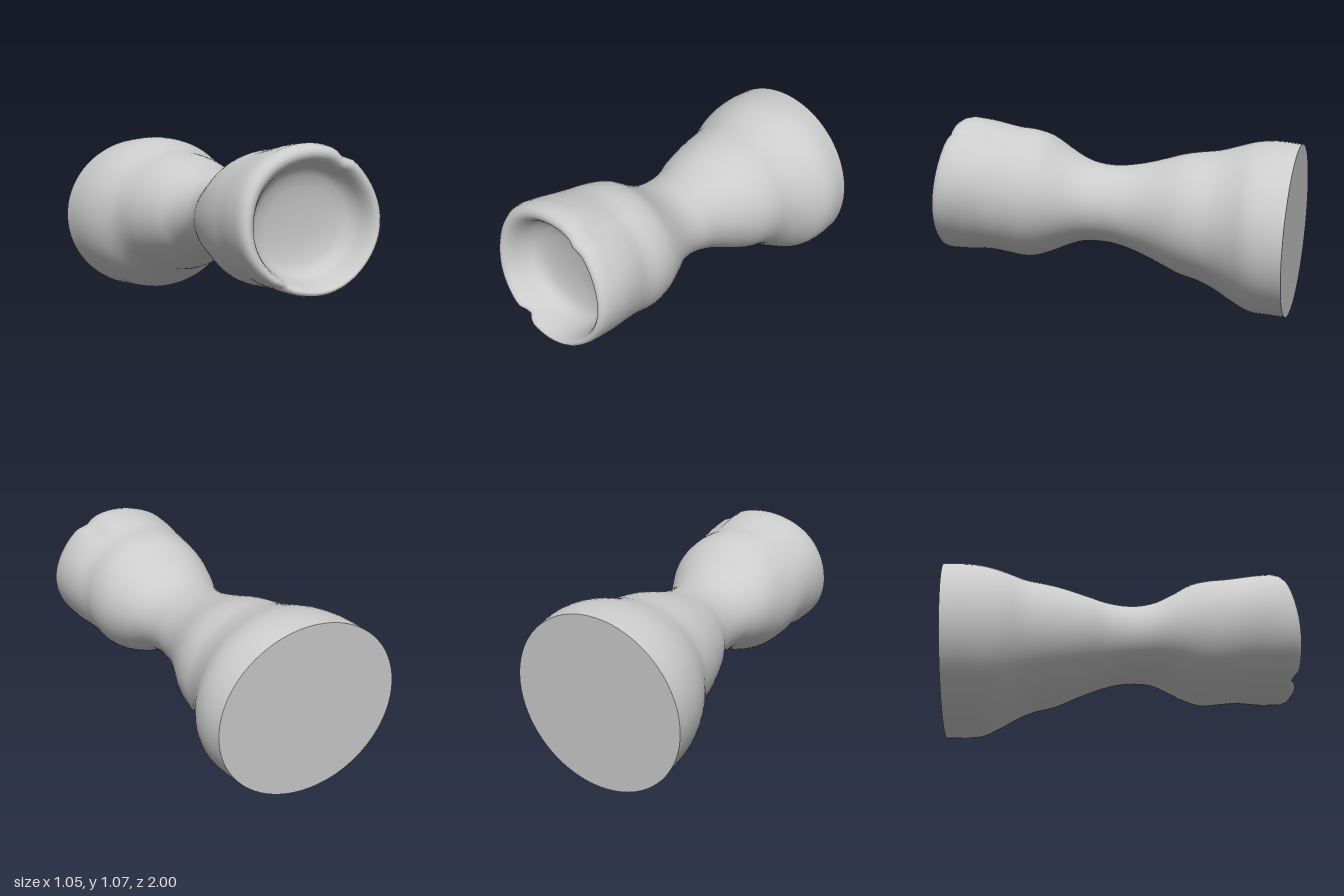
import * as THREE from 'three';

const SEG = 72;
const material = new THREE.MeshStandardMaterial({ color: 0xcccccc });

// Body cross-sections from back to front: z, left x, right x, bottom y, top y
const SECTIONS = [
  [-0.967, -0.527, 0.505, 0.005, 0.95], [-0.85, -0.513, 0.525, 0.018, 0.967],
  [-0.75, -0.49, 0.515, 0.03, 0.962], [-0.65, -0.45, 0.465, 0.075, 0.935],
  [-0.55, -0.395, 0.425, 0.14, 0.91], [-0.45, -0.365, 0.415, 0.19, 0.9],
  [-0.35, -0.34, 0.395, 0.22, 0.885], [-0.2, -0.29, 0.335, 0.29, 0.845],
  [-0.1, -0.24, 0.305, 0.335, 0.825], [0, -0.215, 0.295, 0.37, 0.815],
  [0.1, -0.21, 0.295, 0.385, 0.82], [0.2, -0.225, 0.325, 0.385, 0.85],
  [0.3, -0.26, 0.38, 0.355, 0.91], [0.4, -0.285, 0.43, 0.315, 0.98],
  [0.5, -0.305, 0.45, 0.29, 1.01], [0.6, -0.32, 0.45, 0.3, 1.02],
  [0.7, -0.325, 0.47, 0.32, 1.04], [0.8, -0.333, 0.485, 0.32, 1.06],
  [0.89, -0.333, 0.486, 0.322, 1.073],
];

// Rim and hollow: scale of the mouth outline, z
const MOUTH = [
  [0.99, 0.925], [0.965, 0.946], [0.93, 0.957], [0.89, 0.957], [0.85, 0.942], [0.81, 0.91],
  [0.775, 0.87], [0.73, 0.83], [0.65, 0.803], [0.52, 0.787], [0.35, 0.777], [0.17, 0.771], [0, 0.77],
];

// Bell-shaped falloff around an angle
const bump = (a, centre, width) => {
  const d = Math.atan2(Math.sin(a - centre), Math.cos(a - centre));
  return Math.exp(-((d / width) ** 2));
};

// One closed ring of points; both ends are tilted
function ring(z, xl, xr, yb, yt, s, mouth) {
  const points = [];
  const front = THREE.MathUtils.smoothstep(z, 0.5, 0.9);
  const back = 1 - THREE.MathUtils.smoothstep(z, -0.967, -0.65);
  const inner = mouth ? 1 - s : 0;
  const cx = (xl + xr) / 2 + 0.06 * inner, cy = (yb + yt) / 2 - 0.1 * inner;
  const edge = THREE.MathUtils.smoothstep(s, 0.72, 0.88);
  for (let i = 0; i < SEG; i++) {
    const a = (i / SEG) * Math.PI * 2;
    // Groove on the upper side, nick in the lower rim, slight hand-made unevenness
    const groove = mouth ? edge : THREE.MathUtils.smoothstep(z, 0.55, 0.85);
    const nick = mouth ? edge * bump(a, -2.03, 0.1) : 0;
    const lumps = 0.007 * front * Math.sin(5 * a + 9 * z) * edge;
    const r = s * (1 - 0.055 * groove * bump(a, 1.03, 0.1) + lumps);
    const x = cx + (r * (xr - xl) / 2) * Math.cos(a);
    const y = cy + (r * (yt - yb) / 2) * Math.sin(a);
    const tilt = (mouth ? edge : front) * (-0.115 * (y - 0.69) - 0.02 * (x - 0.08));
    const dz = tilt + back * (0.05 * x - 0.05 * (y - 0.48)) - 0.035 * nick;
    points.push(new THREE.Vector3(x, y, z + dz));
  }
  return points;
}

// Skin joining consecutive rings
function loft(rings) {
  const index = [];
  for (let j = 0; j < rings.length - 1; j++) {
    for (let i = 0; i < SEG; i++) {
      const a = j * SEG + i, b = j * SEG + ((i + 1) % SEG);
      index.push(a, b, b + SEG, a, b + SEG, a + SEG);
    }
  }
  const geometry = new THREE.BufferGeometry().setFromPoints(rings.flat());
  geometry.setIndex(index);
  geometry.computeVertexNormals();
  return geometry;
}

export function createModel() {
  const group = new THREE.Group();
  const add = (name, geometry) => {
    const mesh = new THREE.Mesh(geometry, material);
    mesh.name = name;
    group.add(mesh);
  };

  // Smooth interpolation between the cross-sections
  const curve = (c, d) => new THREE.CatmullRomCurve3(
    SECTIONS.map((s) => new THREE.Vector3(s[c], s[d], s[0])), false, 'catmullrom', 0.5);
  const widths = curve(1, 2), heights = curve(3, 4);
  const rings = [];
  const steps = (SECTIONS.length - 1) * 3;
  for (let k = 0; k <= steps; k++) {
    const w = widths.getPoint(k / steps), h = heights.getPoint(k / steps);
    rings.push(ring(w.z, w.x, w.y, h.x, h.y, 1, false));
  }

  // Rounded rim and bowl-shaped hollow
  const [, xl, xr, yb, yt] = SECTIONS[SECTIONS.length - 1];
  for (const [s, z] of MOUTH) rings.push(ring(z, xl, xr, yb, yt, s, true));
  add('hollowedBody', loft(rings));

  // Flat disc closing the wide end
  const outline = rings[0];
  const centre = outline.reduce((sum, p) => sum.add(p), new THREE.Vector3()).divideScalar(SEG);
  add('baseDisc', loft([outline.map(() => centre.clone()), outline.map((p) => p.clone())]));
  return group;
}
